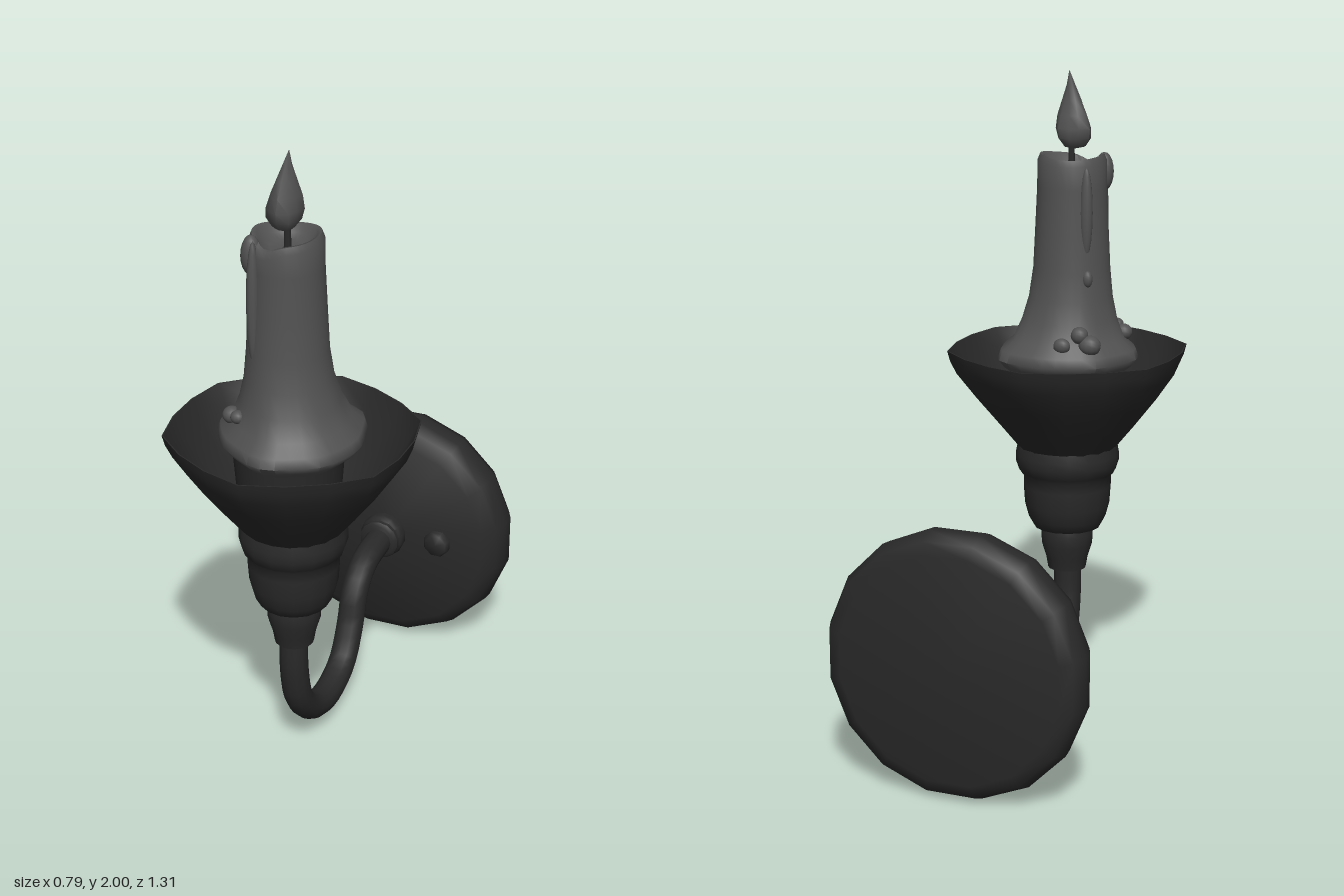
import * as THREE from 'three';
import { toCreasedNormals } from 'three/addons/utils/BufferGeometryUtils.js';

const iron = new THREE.MeshStandardMaterial({ color: 0x292929, side: THREE.DoubleSide });
const wax = new THREE.MeshStandardMaterial({ color: 0x525252, side: THREE.DoubleSide });
const AXIS_Z = 0.28; // vertical axis of the cup and candle
const PLATE_Y = 0.4;

function add(parent, name, geometry, material, x = 0, y = 0, z = 0) {
  const mesh = new THREE.Mesh(geometry, material);
  mesh.name = name;
  mesh.position.set(x, y, z);
  parent.add(mesh);
  return mesh;
}

// Lathe from [radius, height] pairs, with an optional rule that moves each vertex
function turned(points, sides, crease = 0.7, rule = null, phase = 0) {
  const g = new THREE.LatheGeometry(points.map(([r, y]) => new THREE.Vector2(r, y)), sides, phase);
  if (rule) {
    const p = g.attributes.position;
    const v = new THREE.Vector3();
    for (let i = 0; i < p.count; i++) {
      v.fromBufferAttribute(p, i);
      rule(v, Math.atan2(v.x, v.z));
      p.setXYZ(i, v.x, v.y, v.z);
    }
  }
  return toCreasedNormals(g, crease);
}

export function createModel() {
  const model = new THREE.Group();
  model.name = 'candleSconce';

  // Wall plate: rounded front, nearly flat back
  const mount = new THREE.Group();
  mount.name = 'wallMount';
  mount.position.set(0, PLATE_Y, -0.655);
  mount.rotation.x = Math.PI / 2;
  model.add(mount);
  add(mount, 'wallPlate', turned(
    [[0, 0], [0.345, 0], [0.383, 0.012], [0.404, 0.06], [0.4, 0.1], [0.382, 0.145], [0.34, 0.175], [0, 0.18]],
    16, 0.9, null, Math.PI / 16), iron);
  add(mount, 'armCollar', turned(
    [[0.072, 0.17], [0.075, 0.2], [0.072, 0.215], [0.066, 0.222], [0.066, 0.235], [0.055, 0.243], [0, 0.243]], 14), iron);
  for (const s of [-1, 1]) {
    add(mount, 'plateScrew', turned(
      [[0.045, 0.165], [0.045, 0.192], [0.037, 0.202], [0, 0.204]], 8, 1.2, null, Math.PI / 8), iron, s * 0.185);
  }

  // Curved arm from the collar down and up to the socket
  const path = [
    [0.285, 0.46], [0.283, 0.32], [0.25, 0.2], [0.155, 0.105], [0.03, 0.073],
    [-0.1, 0.115], [-0.17, 0.22], [-0.21, 0.325], [-0.285, 0.385], [-0.43, 0.4],
  ].map(([z, y]) => new THREE.Vector3(0, y, z));
  add(model, 'arm', new THREE.TubeGeometry(new THREE.CatmullRomCurve3(path), 32, 0.044, 12), iron);

  // Stepped socket under the cup
  add(model, 'socket', turned([
    [0, 0.425], [0.06, 0.425], [0.066, 0.46], [0.08, 0.505], [0.082, 0.54], [0.078, 0.56],
    [0.105, 0.565], [0.122, 0.595], [0.134, 0.64], [0.138, 0.7], [0.138, 0.735],
    [0.153, 0.75], [0.163, 0.78], [0.163, 0.805], [0.156, 0.84], [0, 0.84],
  ], 16, 1.2), iron, 0, 0, AXIS_Z);

  // Open flared cup with a softly six-cornered, thin rim
  add(model, 'cup', turned([
    [0, 0.83], [0.155, 0.83], [0.212, 0.9], [0.283, 0.99], [0.34, 1.07], [0.358, 1.11], [0.366, 1.142],
    [0.362, 1.142], [0.327, 1.07], [0.265, 0.99], [0.19, 0.92], [0, 0.9],
  ], 18, 0.8, (v, a) => {
    const flare = THREE.MathUtils.smoothstep(v.y, 0.85, 1.14);
    const corner = 1 + 0.033 * flare * Math.cos(6 * a);
    v.x *= corner;
    v.z *= corner;
  }), iron, 0, 0, AXIS_Z);

  // Candle with a spreading wax foot, wavy rim and hollow top
  const candle = new THREE.Group();
  candle.name = 'candle';
  candle.position.set(-0.012, 0, AXIS_Z);
  model.add(candle);
  add(candle, 'candleSeat', turned([[0.15, 0.89], [0.165, 1.08], [0, 1.09]], 24), iron);
  add(candle, 'waxBody', turned([
    [0, 1.07], [0.17, 1.075], [0.2, 1.1], [0.216, 1.122], [0.207, 1.15], [0.172, 1.18],
    [0.148, 1.24], [0.13, 1.31], [0.119, 1.4], [0.113, 1.52], [0.107, 1.65], [0.106, 1.73],
    [0.098, 1.75], [0.086, 1.745], [0.076, 1.72], [0.05, 1.705], [0, 1.702],
  ], 32, 1.0, (v, a) => {
    const foot = THREE.MathUtils.smoothstep(1.5 - v.y, 0.1, 0.38);
    const wave = 1 + foot * (0.025 * Math.sin(3 * a + 0.6) + 0.02 * Math.sin(5 * a + 2) + 0.015 * Math.cos(8 * a));
    v.x = v.x * wave + 0.012 * foot;
    v.z = v.z * wave * (1 + 0.04 * foot);
    if (v.y > 1.7) {
      const rim = THREE.MathUtils.smoothstep(Math.hypot(v.x, v.z), 0.06, 0.1);
      v.y -= rim * (0.004 + 0.006 * Math.sin(2 * a + 1) + 0.03 * Math.max(0, Math.cos(a + 0.4)) ** 8);
    }
  }), wax);

  // Wax runs and beads: x, y, z, then half sizes
  const bead = new THREE.SphereGeometry(1, 12, 10);
  const drops = [
    ['waxRun', -0.066, 1.55, 0.085, 0.02, 0.19, 0.026],
    ['waxRun', -0.08, 1.69, 0.066, 0.03, 0.06, 0.03],
    ['waxRun', -0.075, 1.58, -0.075, 0.02, 0.14, 0.02],
    ['waxBead', -0.083, 1.38, -0.083, 0.016, 0.026, 0.016],
    ['waxBead', -0.11, 1.185, -0.132, 0.035, 0.032, 0.032],
    ['waxBead', -0.078, 1.215, -0.135, 0.027, 0.027, 0.027],
    ['waxBead', -0.033, 1.185, -0.168, 0.027, 0.024, 0.02],
    ['waxBead', -0.145, 1.19, 0.075, 0.028, 0.026, 0.028],
    ['waxBead', -0.11, 1.205, 0.11, 0.022, 0.02, 0.022],
  ];
  for (const [name, x, y, z, ...size] of drops) add(candle, name, bead, wax, x, y, z).scale.set(...size);

  // Wick and a leaning, slightly twisted flame
  add(candle, 'wick', new THREE.CylinderGeometry(0.009, 0.012, 0.09, 8), iron, 0.004, 1.74, 0.005);
  add(candle, 'flame', turned([
    [0, 1.762], [0.032, 1.77], [0.05, 1.795], [0.054, 1.825], [0.045, 1.865],
    [0.029, 1.91], [0.013, 1.955], [0, 2.0],
  ], 10, 1.0, (v, a) => {
    const t = (v.y - 1.76) / 0.24;
    const lobe = 1 + 0.12 * Math.sin(3 * a + 4 * t);
    v.x = v.x * lobe + 0.022 * t * t;
    v.z = v.z * lobe + 0.02 + 0.01 * t * t;
  }), wax);

  return model;
}
